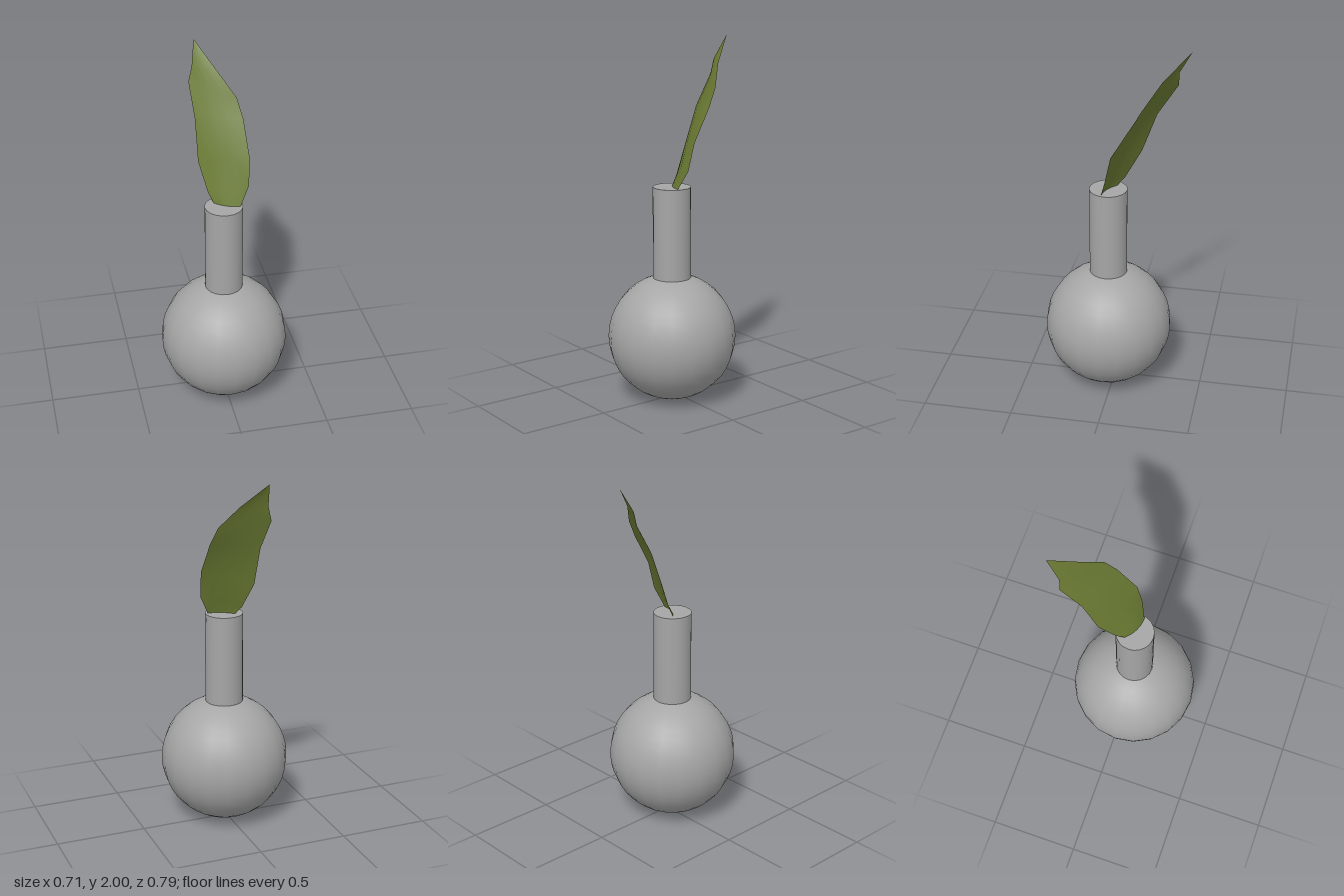
import * as THREE from 'three';

const CENTER_Z = 0.037;

// Leaf rows from tip to base: [left edge, right edge, forward bulge of the middle]
const LEAF_ROWS = [
  [[-0.075, 2.0, -0.395], [-0.07, 1.995, -0.39], 0],
  [[-0.1, 1.87, -0.325], [0.03, 1.86, -0.255], 0.006],
  [[-0.12, 1.79, -0.32], [0.115, 1.74, -0.17], 0.012],
  [[-0.107, 1.62, -0.21], [0.138, 1.64, -0.11], 0.014],
  [[-0.107, 1.4, -0.13], [0.15, 1.46, -0.003], 0.015],
  [[-0.07, 1.25, -0.045], [0.14, 1.31, 0.03], 0.015],
  [[-0.045, 1.2, 0], [0.085, 1.2, 0.062], 0.014],
  [[0.01, 1.1, 0.055], [0.03, 1.1, 0.065], 0],
];

// Curved sheet through the rows, cupped across its width
function leafGeometry() {
  const cols = 4;
  const forward = new THREE.Vector3(-0.46, 0.2, 0.86);
  const positions = [];
  const index = [];
  LEAF_ROWS.forEach(([left, right, bulge], row) => {
    const a = new THREE.Vector3(...left);
    const b = new THREE.Vector3(...right);
    for (let c = 0; c <= cols; c++) {
      const t = c / cols;
      const p = a.clone().lerp(b, t).addScaledVector(forward, bulge * 4 * t * (1 - t));
      positions.push(p.x, p.y, p.z);
      if (row > 0 && c > 0) {
        const i = row * (cols + 1) + c;
        const up = i - cols - 1;
        index.push(up - 1, i - 1, i, up - 1, i, up);
      }
    }
  });
  const geometry = new THREE.BufferGeometry();
  geometry.setAttribute('position', new THREE.Float32BufferAttribute(positions, 3));
  geometry.setIndex(index);
  geometry.computeVertexNormals();
  return geometry;
}

export function createModel() {
  const ceramic = new THREE.MeshStandardMaterial({ color: 0xa6a6a6 });
  ceramic.name = 'grey ceramic';
  const green = new THREE.MeshStandardMaterial({ color: 0x6a7b33, side: THREE.DoubleSide });
  green.name = 'leaf green';

  const group = new THREE.Group();
  group.name = 'leafInVase';
  const add = (name, geometry, material, y = 0, z = 0) => {
    const mesh = new THREE.Mesh(geometry, material);
    mesh.name = name;
    mesh.position.set(0, y, z);
    group.add(mesh);
  };

  // Round vase body with a straight neck
  add('vaseBody', new THREE.SphereGeometry(0.355, 20, 20), ceramic, 0.355, CENTER_Z);
  add('vaseNeck', new THREE.CylinderGeometry(0.105, 0.105, 0.545, 20), ceramic, 0.9325, CENTER_Z);

  // Single leaf leaning back out of the neck
  add('leaf', leafGeometry(), green);
  return group;
}
